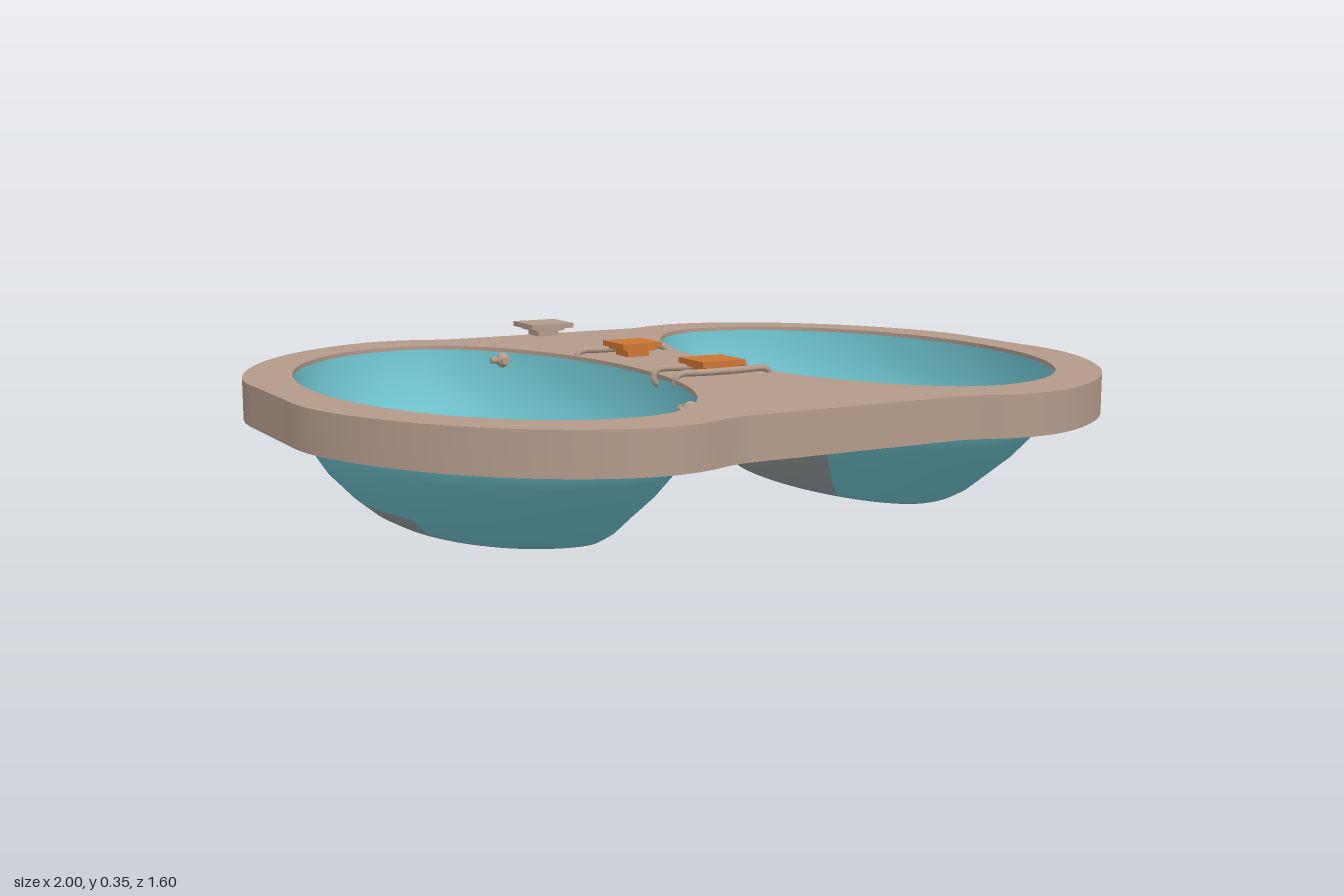
import * as THREE from 'three';
import { toCreasedNormals } from 'three/addons/utils/BufferGeometryUtils.js';

const mat = (name, color) => {
  const m = new THREE.MeshStandardMaterial({ color });
  m.name = name;
  return m;
};

// Egg-shaped oval: separate half widths on its outer and inner side
const CX = 0.455;
const oval = (t, [out, inn, b]) => [CX + Math.cos(t) * (Math.cos(t) > 0 ? out : inn), Math.sin(t) * b];

// Bowl cross-sections from rim to base: [outer, inner, half length, y]
const ROWS = [
  [0.452, 0.338, 0.665, 0.308],
  [0.449, 0.333, 0.650, 0.225],
  [0.425, 0.305, 0.602, 0.165],
  [0.390, 0.268, 0.540, 0.108],
  [0.340, 0.222, 0.470, 0.055],
  [0.295, 0.188, 0.425, 0.018],
  [0.265, 0.165, 0.395, 0.002],
];

// Lofts oval rows; pick(row, angle) chooses the material index of a quad
function loft(rows, side, inward, pick) {
  const N = 72, pos = [], lists = [[], []];
  for (const r of rows) {
    for (let i = 0; i < N; i++) {
      const [x, z] = oval(i / N * Math.PI * 2, r);
      pos.push(side * x, r[3], z);
    }
  }
  const flip = (side < 0) !== inward;
  for (let j = 0; j < rows.length - 1; j++) {
    for (let i = 0; i < N; i++) {
      const a = j * N + i, b = j * N + (i + 1) % N, c = a + N, d = b + N;
      const list = lists[pick(j, (i + 0.5) / N * Math.PI * 2)];
      if (flip) list.push(a, c, b, b, c, d);
      else list.push(a, b, c, b, d, c);
    }
  }
  const g = new THREE.BufferGeometry();
  g.setAttribute('position', new THREE.Float32BufferAttribute(pos, 3));
  g.setIndex([...lists[0], ...lists[1]]);
  g.addGroup(0, lists[0].length, 0);
  g.addGroup(lists[0].length, lists[1].length, 1);
  g.computeVertexNormals();
  return g;
}

// Tray outline from one quarter, mirrored into a closed counter-clockwise curve
function outline() {
  const q = [[0, 0.757], [0.14, 0.757], [0.23, 0.757], [0.275, 0.758], [0.315, 0.768], [0.375, 0.79],
    [0.45, 0.8], [0.54, 0.785], [0.62, 0.75], [0.72, 0.685], [0.83, 0.575], [0.92, 0.435],
    [0.97, 0.32], [0.993, 0.235], [1, 0.17], [1, 0.09], [1, 0]];
  const half = [...q, ...q.slice(0, -1).reverse().map(([x, z]) => [x, -z])];
  const all = [...half, ...half.slice(1, -1).reverse().map(([x, z]) => [-x, z])].reverse();
  const curve = new THREE.CatmullRomCurve3(all.map(([x, z]) => new THREE.Vector3(x, z, 0)), true);
  return curve.getPoints(240).slice(0, -1).map(p => new THREE.Vector2(p.x, p.y));
}

// Extrudes a plan shape upward between two heights
function slab(shape, y0, y1) {
  const g = new THREE.ExtrudeGeometry(shape, { depth: y1 - y0, bevelEnabled: false });
  g.rotateX(-Math.PI / 2).translate(0, y0, 0);
  return toCreasedNormals(g, 0.6);
}

export function createModel() {
  const model = new THREE.Group();
  model.name = 'doubleBowlTray';
  const tan = mat('warm taupe', 0xb39b8a);
  const teal = mat('teal', 0x6cbfca);
  const grey = mat('stone grey', 0x8e9a98);
  const orange = mat('orange', 0xcd7632);

  const add = (name, geo, material, parent = model) => {
    const m = new THREE.Mesh(geo, material);
    m.name = name;
    parent.add(m);
    return m;
  };
  const box = (name, w, h, d, x, y, z, material, parent) =>
    add(name, new THREE.BoxGeometry(w, h, d).translate(x, y, z), material, parent);

  // Thin top plate with two oval openings
  const rim = outline();
  const top = new THREE.Shape(rim);
  for (const s of [1, -1]) {
    const pts = [];
    for (let i = 0; i < 72; i++) {
      const [x, z] = oval(i / 72 * Math.PI * 2, ROWS[0]);
      pts.push(new THREE.Vector2(s * x, z));
    }
    top.holes.push(new THREE.Path(pts));
  }
  add('topPlate', slab(top, 0.305, 0.318), tan);

  // Hollow skirt below the plate
  const wall = new THREE.Shape(rim);
  wall.holes.push(new THREE.Path(rim.map(p => p.clone().multiplyScalar(0.985))));
  add('skirt', slab(wall, 0.223, 0.306), tan);

  // Two bowls: inner lining, outer shell, base
  for (const s of [1, -1]) {
    const bowl = new THREE.Group();
    bowl.name = s > 0 ? 'leftBowl' : 'rightBowl';
    model.add(bowl);
    const lining = ROWS.map(([a, c, b, y], i) => i ? [a - 0.005, c - 0.005, b - 0.005, y + 0.008] : [a, c, b, y]);
    lining.push([0.12, 0.08, 0.2, 0.009], [0, 0, 0, 0.009]);
    add('bowlLining', loft(lining, s, true, () => 0), [teal, grey], bowl);
    const shell = ROWS.map(([a, c, b, y]) => [a + 0.003, c + 0.003, b + 0.003, y]);
    // grey under the rim, on the wall facing the bridge and on a low outer patch
    const isGrey = (j, t) => j === 0 || Math.abs(t - Math.PI) < 0.65 ||
      (j >= 4 && Math.cos(t + 0.2) > 0.8);
    add('bowlShell', loft(shell, s, false, (j, t) => (isGrey(j, t) ? 1 : 0)), [teal, grey], bowl);
    const last = shell[shell.length - 1];
    const base = [last, [last[0] - 0.004, last[1] - 0.004, last[2] - 0.004, 0], [0, 0, 0, 0]];
    add('bowlBase', loft(base, s, false, () => 1), [teal, grey], bowl);

    // Small crossed studs on the bowl edge
    for (const z of [-0.5, 0.475]) {
      const stud = new THREE.Group();
      stud.name = 'edgeStud';
      stud.position.set(s * 0.235, 0.288, z);
      stud.rotation.y = s * Math.sign(z) * 0.6;
      bowl.add(stud);
      add('studBall', new THREE.SphereGeometry(0.02, 14, 10), tan, stud);
      for (const r of [-0.8, 0.8]) {
        const pin = add('studPin', new THREE.CylinderGeometry(0.009, 0.009, 0.066, 8), tan, stud);
        pin.rotation.set(Math.PI / 2, 0, r);
      }
    }
  }

  // Wire loops wrapped around the bridge between the bowls
  const loop = [[-0.12, 0.329], [-0.06, 0.329], [0.04, 0.329], [0.104, 0.329], [0.116, 0.321], [0.118, 0.303],
    [0.106, 0.294], [0.04, 0.294], [-0.06, 0.294], [-0.122, 0.294], [-0.134, 0.303], [-0.132, 0.321]];
  for (const z of [-0.27, 0.13, 0.232]) {
    const path = new THREE.CatmullRomCurve3(loop.map(([x, y]) => new THREE.Vector3(x, y, z)), true);
    add('wireLoop', new THREE.TubeGeometry(path, 96, 0.008, 8, true), tan);
  }

  // Raised clips: a flat cap on a narrower post
  const clip = (name, z, size, material) => {
    const g = new THREE.Group();
    g.name = name;
    model.add(g);
    box('clipPost', 0.06, 0.03, 0.065, -0.01, 0.328, z, material, g);
    box('clipNeck', 0.085, 0.008, 0.09, -0.01, 0.337, z, material, g);
    box('clipCap', size, 0.013, size, -0.01, 0.347, z, material, g);
  };
  clip('frontLatch', 0.184, 0.113, orange);
  clip('rearLatch', -0.208, 0.11, orange);
  clip('rearTab', -0.732, 0.125, tan);

  return model;
}
